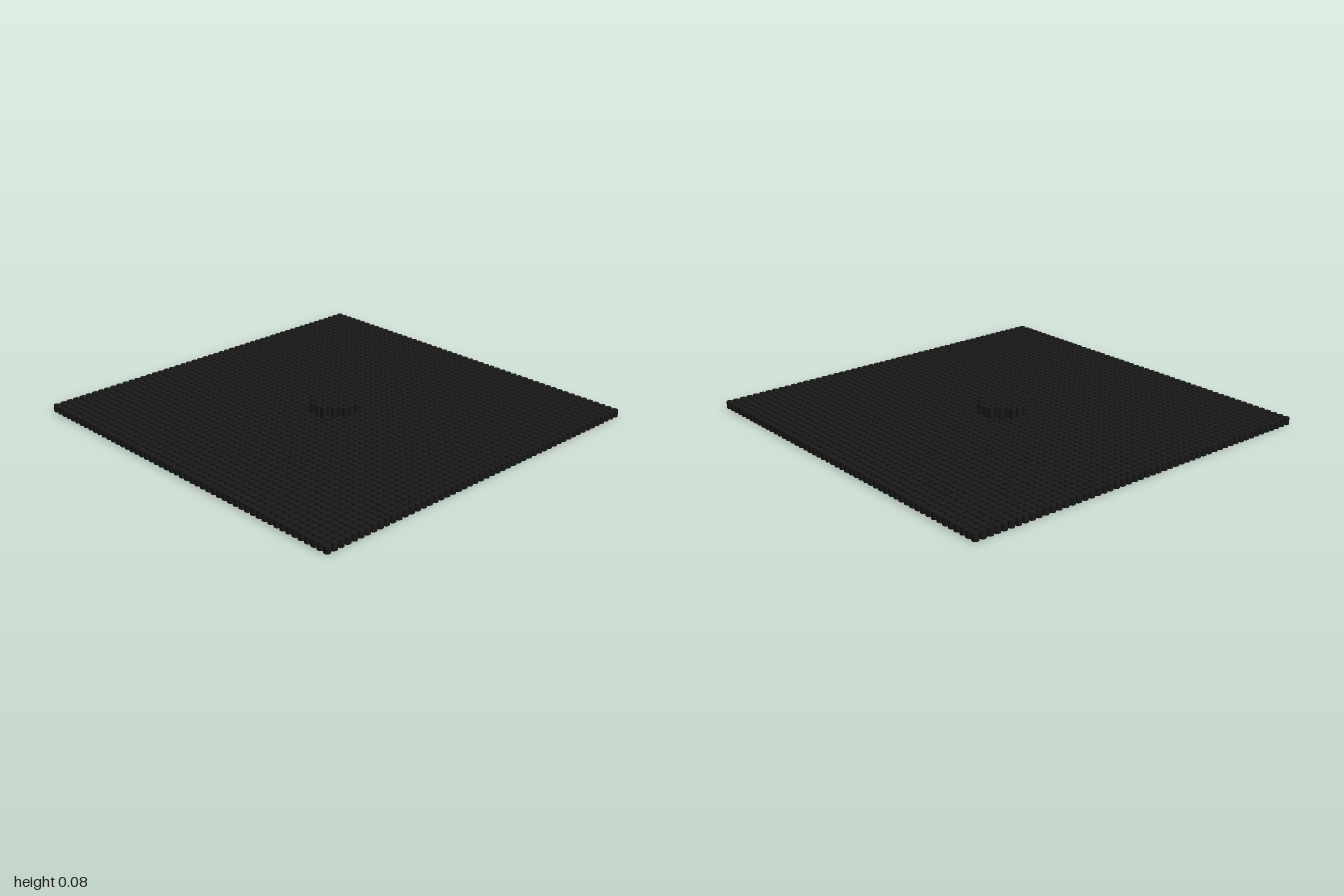
import * as THREE from 'three';
import { mergeGeometries } from 'three/addons/utils/BufferGeometryUtils.js';

const COUNT = 53;                 // pins per side
const DIAMETER = 0.034;
const PITCH = (2 - DIAMETER) / (COUNT - 1);
const LOW = 0.036;
const TALL = 0.082;

// One capped round pin standing on the ground
function pin(column, row, height) {
  const geometry = new THREE.CylinderGeometry(DIAMETER / 2, DIAMETER / 2, height, 12);
  geometry.translate(column * PITCH, height / 2, row * PITCH);
  return geometry;
}

export function createModel() {
  const group = new THREE.Group();
  group.name = 'pinField';
  const black = new THREE.MeshStandardMaterial({ color: 0x1a1a1a });
  black.name = 'matte black';

  // Square field of short pins with a raised round cluster in the middle
  const low = [];
  const tall = [];
  const half = (COUNT - 1) / 2;
  for (let row = -half; row <= half; row++) {
    for (let column = -half; column <= half; column++) {
      const raised = Math.hypot(column, row) < 3.5;
      (raised ? tall : low).push(pin(column, row, raised ? TALL : LOW));
    }
  }

  for (const [name, pins] of [['lowPins', low], ['raisedCentrePins', tall]]) {
    const mesh = new THREE.Mesh(mergeGeometries(pins), black);
    mesh.name = name;
    group.add(mesh);
  }
  return group;
}
